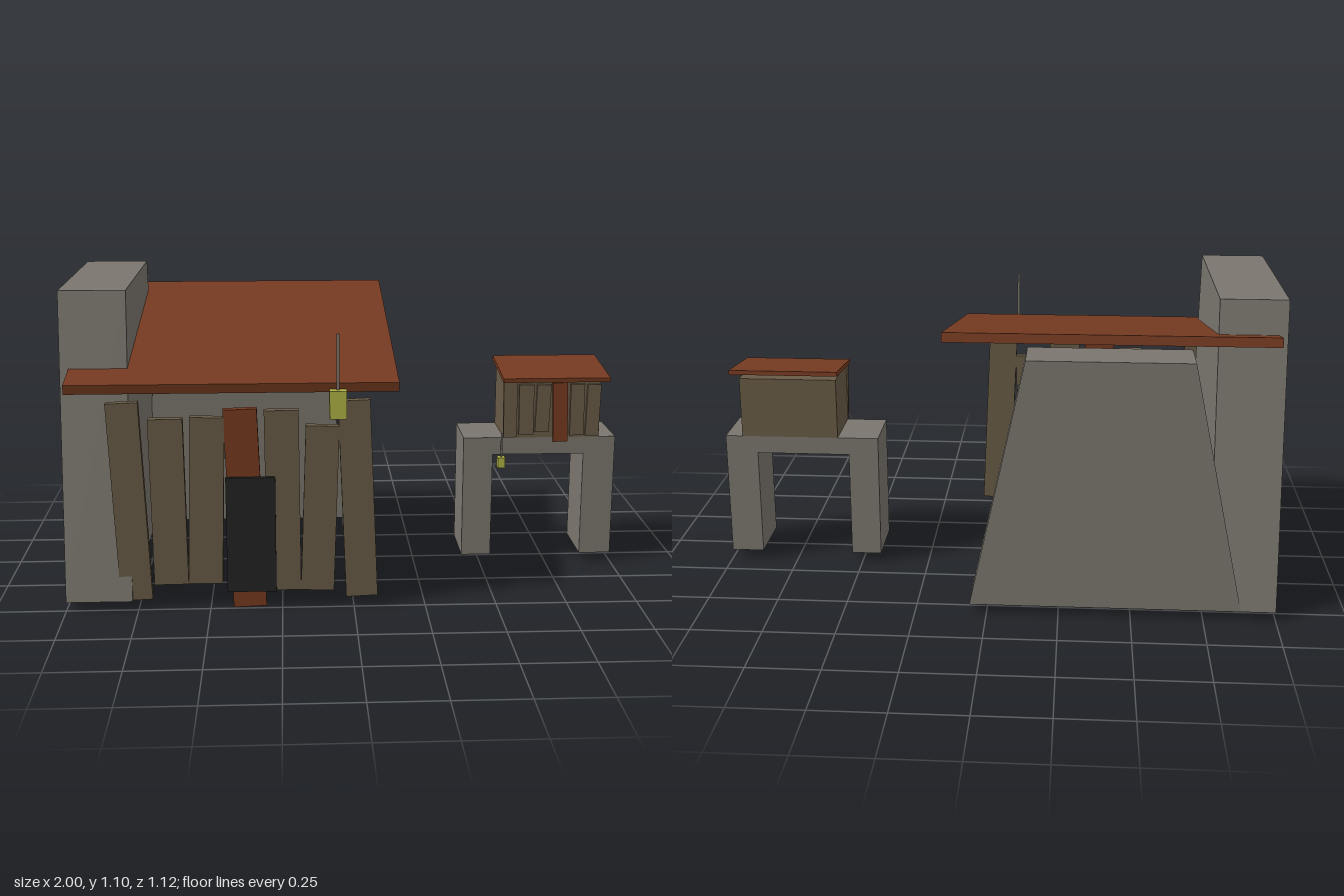
import * as THREE from 'three';

const mat = (name, color) => {
  const m = new THREE.MeshStandardMaterial({ color });
  m.name = name;
  return m;
};

export function createModel() {
  const model = new THREE.Group();
  model.name = 'shacks';

  const stone = mat('stone', 0x7a756d);
  const wood = mat('wood', 0x685b46);
  const rust = mat('rustyWood', 0x753a20);
  const black = mat('blackDoor', 0x232323);
  const yellow = mat('lanternYellow', 0xaeb244);

  const add = (parent, name, geometry, material, x = 0, y = 0, z = 0) => {
    const mesh = new THREE.Mesh(geometry, material);
    mesh.name = name;
    mesh.position.set(x, y, z);
    parent.add(mesh);
    return mesh;
  };
  // box from its min and max corners
  const block = (parent, name, material, [x0, y0, z0], [x1, y1, z1]) =>
    add(parent, name, new THREE.BoxGeometry(x1 - x0, y1 - y0, z1 - z0), material,
      (x0 + x1) / 2, (y0 + y1) / 2, (z0 + z1) / 2);
  // flat outline given depth
  const slab = (points, depth) => new THREE.ExtrudeGeometry(
    new THREE.Shape(points.map(([x, y]) => new THREE.Vector2(x, y))),
    { depth, bevelEnabled: false });
  // leaning boards: x, y, width, height, tilt, rusty
  const boards = (parent, list, z, depth) => list.forEach(([x, y, w, h, tilt, rusty]) => {
    const board = add(parent, rusty ? 'rustyPlank' : 'plank',
      new THREE.BoxGeometry(w, h, depth), rusty ? rust : wood, x, y, z);
    board.rotation.z = tilt;
  });
  const roof = (parent, w, t, l, x, y, z, pitch) => {
    add(parent, 'roof', new THREE.BoxGeometry(w, t, l), rust, x, y, z).rotation.x = pitch;
  };

  // Large shack
  const shack = new THREE.Group();
  shack.name = 'largeShack';
  model.add(shack);

  // tapered stone walls
  const side = add(shack, 'sideWall',
    slab([[-0.56, 0.035], [0.503, 0.035], [0.345, 1.1], [-0.4, 1.1]], 0.23), stone, -0.77);
  side.rotation.y = -Math.PI / 2;
  add(shack, 'backWall',
    slab([[-0.88, 0.035], [0.06, 0.035], [-0.13, 0.92], [-0.69, 0.92]], 0.175), stone, 0, 0, -0.56);

  roof(shack, 1.12, 0.033, 1.061, -0.41, 0.89, 0, 0.18);

  // plank front
  boards(shack, [
    [-0.77, 0.388, 0.11, 0.705, 0.04],
    [-0.637, 0.387, 0.118, 0.592, 0.01],
    [-0.507, 0.39, 0.118, 0.595, -0.03],
    [-0.375, 0.36, 0.115, 0.71, 0.035, true],
    [-0.245, 0.387, 0.118, 0.645, 0.006],
    [-0.117, 0.358, 0.115, 0.592, -0.035],
    [0.014, 0.39, 0.11, 0.705, 0.04],
  ], 0.475, 0.03);
  block(shack, 'door', black, [-0.44, 0.065, 0.488], [-0.27, 0.478, 0.504]);

  // hanging lantern
  block(shack, 'lantern', yellow, [-0.085, 0.695, 0.505], [-0.027, 0.79, 0.561]);
  block(shack, 'lanternRod', stone, [-0.061, 0.79, 0.528], [-0.052, 0.98, 0.537]);

  // Small hut on a stone arch
  const hut = new THREE.Group();
  hut.name = 'smallHut';
  model.add(hut);

  add(hut, 'stoneArch', slab([
    [0.43, 0.035], [0.54, 0.035], [0.54, 0.43], [0.882, 0.43],
    [0.882, 0.035], [1, 0.035], [1, 0.495], [0.43, 0.495],
  ], 0.225), stone, 0, 0, -0.145);
  block(hut, 'hutBody', wood, [0.58, 0.495, -0.145], [0.937, 0.717, 0.082]);
  roof(hut, 0.397, 0.016, 0.285, 0.768, 0.733, -0.033, 0.105);

  boards(hut, [
    [0.6, 0.604, 0.05, 0.21, 0.02],
    [0.66, 0.604, 0.055, 0.19, 0.01],
    [0.722, 0.608, 0.052, 0.18, -0.03],
    [0.787, 0.593, 0.055, 0.225, 0.035, true],
    [0.85, 0.602, 0.052, 0.195, 0.006],
    [0.91, 0.6, 0.05, 0.195, -0.02],
  ], 0.087, 0.015);

  // small lantern
  block(hut, 'smallLantern', yellow, [0.556, 0.385, 0.081], [0.583, 0.425, 0.111]);
  block(hut, 'smallLanternRod', stone, [0.567, 0.425, 0.094], [0.573, 0.515, 0.1]);

  return model;
}
